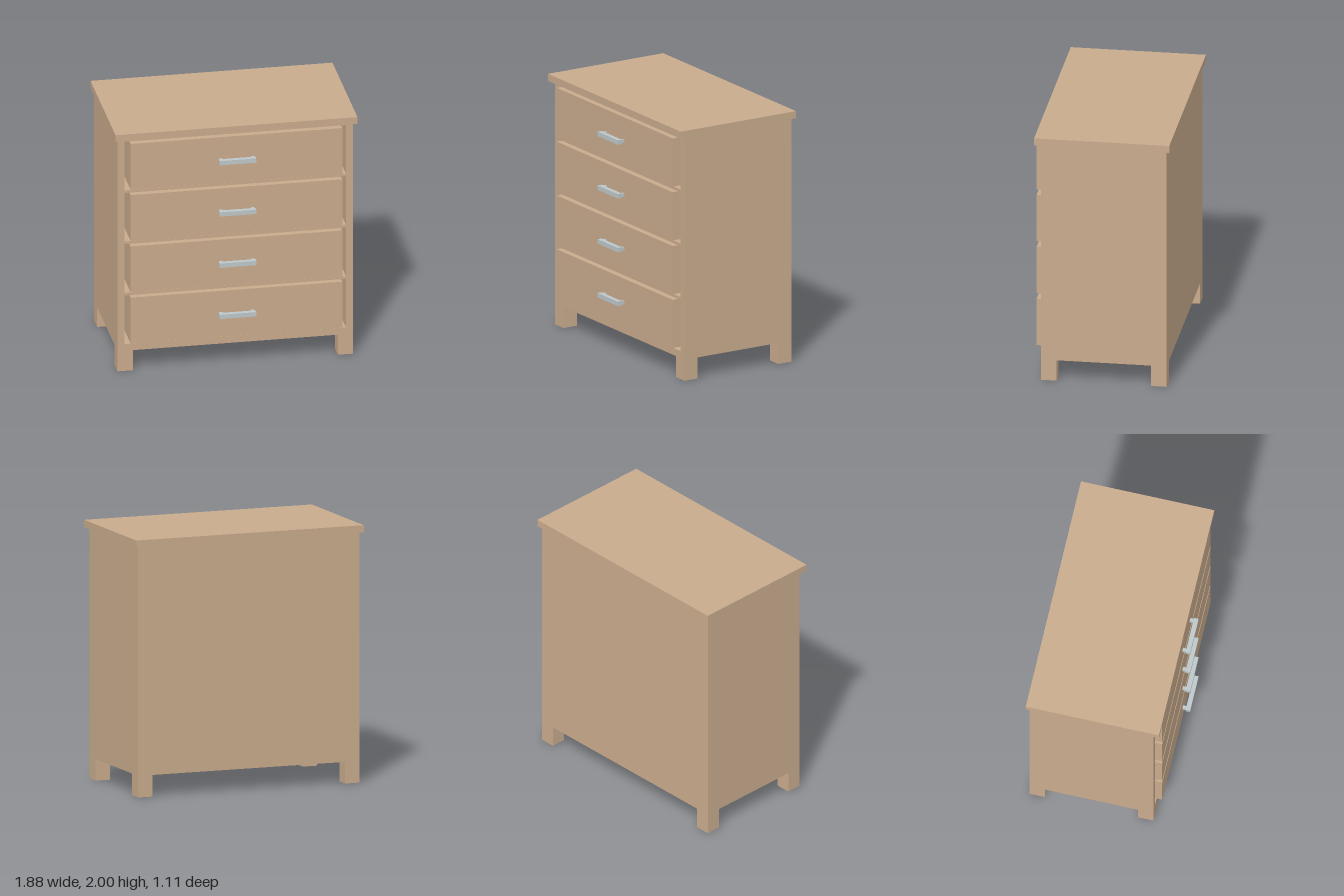
import * as THREE from 'three';

export function createModel() {
  const group = new THREE.Group();
  const wood = new THREE.MeshStandardMaterial({ color: 0xc8aa8c });
  wood.name = 'wood';
  const metal = new THREE.MeshStandardMaterial({ color: 0xbcc6c8 });
  metal.name = 'metal';

  // Box given by its min and max corners
  const box = (name, mat, [x0, y0, z0], [x1, y1, z1], parent = group) => {
    const mesh = new THREE.Mesh(new THREE.BoxGeometry(x1 - x0, y1 - y0, z1 - z0), mat);
    mesh.position.set((x0 + x1) / 2, (y0 + y1) / 2, (z0 + z1) / 2);
    mesh.name = name;
    parent.add(mesh);
  };
  const rect = (Type, x0, y0, x1, y1) => new Type([
    new THREE.Vector2(x0, y0), new THREE.Vector2(x1, y0),
    new THREE.Vector2(x1, y1), new THREE.Vector2(x0, y1),
  ]);

  const W = 0.918, BOTTOM = 0.168, TOP = 1.943, BACK = -0.53, FRONT = 0.444;
  const COUNT = 4, PITCH = 0.429, FIRST = 0.224, OPEN_H = 0.407;

  // Carcass: open front with one compartment per drawer, closed by a back panel
  const shape = rect(THREE.Shape, -W, BOTTOM, W, TOP);
  for (let i = 0; i < COUNT; i++) {
    const y = FIRST + i * PITCH;
    shape.holes.push(rect(THREE.Path, -0.862, y, 0.862, y + OPEN_H));
  }
  const carcass = new THREE.Mesh(
    new THREE.ExtrudeGeometry(shape, { depth: FRONT - BACK - 0.04, bevelEnabled: false }), wood);
  carcass.position.z = BACK + 0.04;
  carcass.name = 'carcass';
  group.add(carcass);
  box('backPanel', wood, [-W, BOTTOM, BACK], [W, TOP, BACK + 0.04]);

  // Overhanging top
  box('topBoard', wood, [-0.942, TOP, -0.554], [0.942, 2, 0.493]);

  // Square legs
  const LEG = 0.12;
  for (const x of [-W, W - LEG]) {
    for (const z of [BACK, FRONT - LEG]) {
      box('leg', wood, [x, 0, z], [x + LEG, BOTTOM, z + LEG]);
    }
  }

  // Drawers, each with a bar handle on two posts
  for (let i = 0; i < COUNT; i++) {
    const drawer = new THREE.Group();
    drawer.name = 'drawer';
    const y = FIRST + i * PITCH, c = y + 0.216;
    box('drawerBox', wood, [-0.824, y + 0.022, -0.42], [0.824, y + OPEN_H - 0.001, 0.491], drawer);
    box('handleBar', metal, [-0.143, c - 0.018, 0.518], [0.143, c + 0.018, 0.554], drawer);
    for (const x of [-0.124, 0.124]) {
      box('handlePost', metal, [x - 0.013, c - 0.013, 0.491], [x + 0.013, c + 0.013, 0.518], drawer);
    }
    group.add(drawer);
  }
  return group;
}
